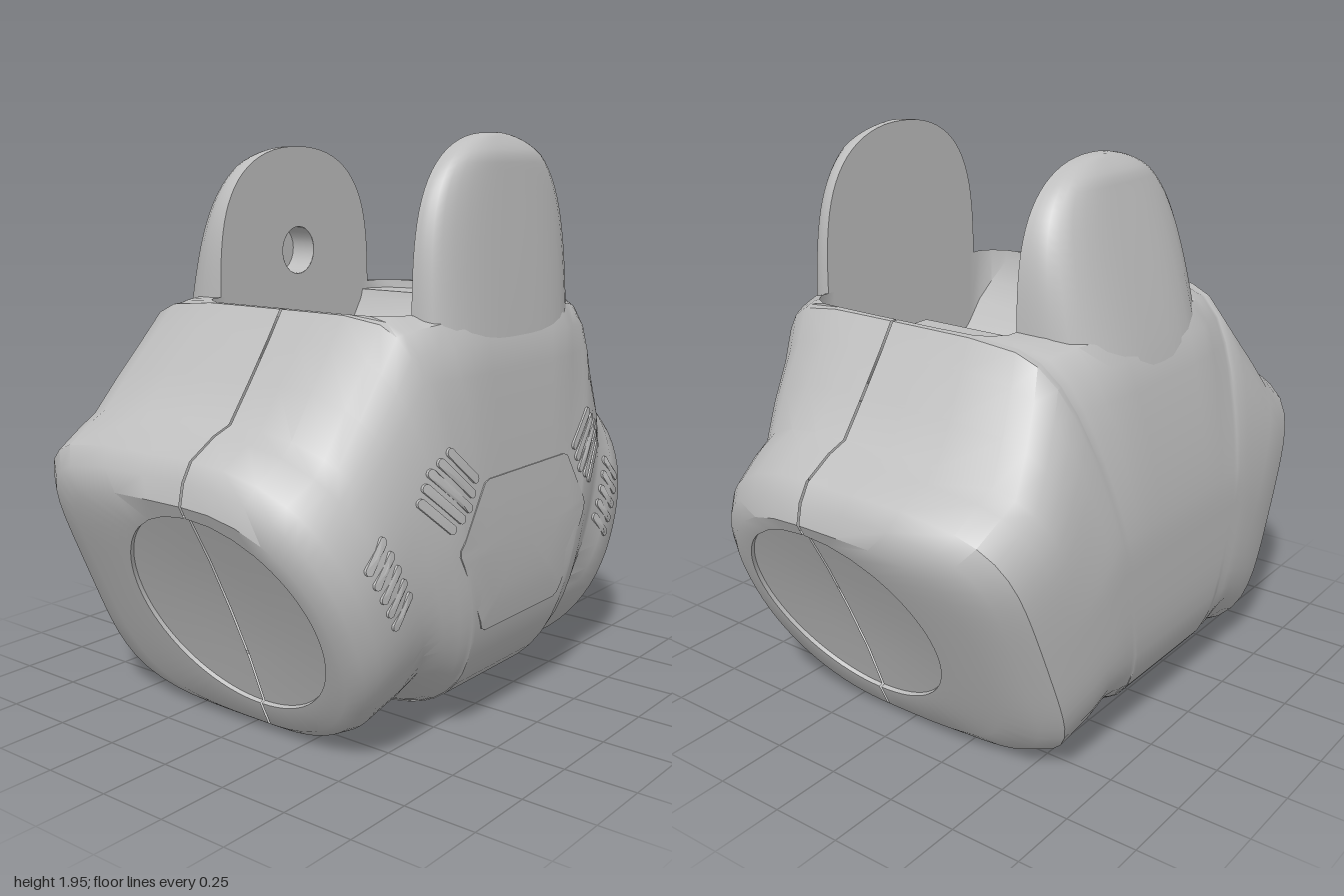
import * as THREE from 'three';
import { toCreasedNormals } from 'three/addons/utils/BufferGeometryUtils.js';

const SEAM = 0.097, GAP = 0.004;
const lerp = THREE.MathUtils.lerp;

// Skin through rows of equal point count
function loft(rows, flip) {
  const n = rows[0].length, index = [];
  for (let i = 0; i < rows.length - 1; i++) {
    for (let j = 0; j < n - 1; j++) {
      const a = i * n + j, b = a + n, c = b + 1, d = a + 1;
      if (flip) index.push(a, b, d, d, b, c);
      else index.push(a, d, b, d, c, b);
    }
  }
  const geo = new THREE.BufferGeometry();
  geo.setAttribute('position', new THREE.Float32BufferAttribute(rows.flat(2), 3));
  geo.setIndex(index);
  return toCreasedNormals(geo, 0.65);
}

// Point of a superellipse at an angle
function superPoint(a, n) {
  const c = Math.cos(a), s = Math.sin(a);
  const r = (Math.abs(c) ** n + Math.abs(s) ** n) ** (-1 / n);
  return [c * r, s * r];
}

// Stations from the middle to one nozzle. Line: bottom z,y, top z,y.
// Each half: width, width at the top, squareness of bottom and top
const station = (line, left, right, trough = false) => ({ line, left, right, trough });
const stations = [];
for (const z of [0, 0.1, 0.2, 0.3, 0.365, 0.375, 0.44, 0.48, 0.51]) {
  const pinch = Math.max(0, z - 0.3) * 0.25, n = 18 - 38 * Math.max(0, z - 0.25);
  stations.push(station([z * 0.4, 0.02, z, 1.4], [0.593, 0.55 - pinch, 3, n], [0.797, 0.65 - pinch, 4.5, n], true));
}
stations.push(
  station([0.206, 0.025, 0.515, 1.4], [0.593, 0.495, 3, 8], [0.797, 0.6, 4.5, 8]),
  station([0.22, 0.03, 0.54, 1.4], [0.59, 0.49, 3, 7], [0.797, 0.61, 4.5, 7.5]),
  station([0.245, 0.045, 0.6, 1.31], [0.58, 0.485, 3, 5], [0.797, 0.65, 4.5, 7]),
  station([0.28, 0.075, 0.69, 1.185], [0.555, 0.485, 2.8, 4], [0.797, 0.7, 4.5, 6.5]),
  station([0.32, 0.09, 0.78, 1.065], [0.525, 0.49, 2.5, 3], [0.79, 0.74, 4.5, 6]),
  station([0.4, 0.055, 0.85, 1.04], [0.54, 0.54, 2.3, 2.4], [0.785, 0.755, 4.5, 5]),
  station([0.53, 0, 0.95, 0.98], [0.52, 0.52, 2.2, 2.3], [0.757, 0.745, 4.5, 5]),
  station([0.58, 0.005, 0.985, 0.92], [0.49, 0.49, 2.2, 2.3], [0.69, 0.69, 4.3, 5]),
  station([0.62, 0.03, 1, 0.85], [0.44, 0.44, 2.2, 2.3], [0.565, 0.565, 3.5, 5]),
);
// Round port in the nozzle face: lip, shallow step, dished floor
const port = [
  [[0.659, 0.115, 0.98, 0.81], 0.385],
  [[0.6454, 0.1213, 0.9664, 0.8163], 0.385],
  [[0.711, 0.293, 0.879, 0.655], 0.2],
  [[0.792, 0.475, 0.792, 0.475], 0],
];
for (const [line, r] of port) stations.push(station(line, [r, r, 2, 2], [r, r, 2, 2]));

function halfSection(st, side, dir) {
  const [bz, by, tz, ty] = st.line;
  const [w, top, nBottom, nTop] = dir > 0 ? st.left : st.right;
  const x0 = SEAM + dir * GAP;
  const at = (deg) => {
    const [u, s] = superPoint(THREE.MathUtils.degToRad(deg), deg < 0 ? nBottom : nTop);
    const v = 0.5 + 0.5 * s;
    const width = s > 0 ? lerp(w, top, s ** 1.5) : w;
    return [x0 + dir * width * u, lerp(by, ty, v), side * lerp(bz, tz, v)];
  };
  const row = [];
  for (let i = 0; i <= 28; i++) row.push(at(-90 + (141 * i) / 28));
  if (st.trough) {
    // Hinge trough: wide cylinder on one half, narrower one with shelves on the other
    const rim = (dir > 0 ? 0.51 : -0.3) - dir * (tz > 0.5 ? 0.08 : tz > 0.46 ? 0.03 : 0);
    let floor = 1.5 - Math.sqrt(0.53 ** 2 - tz * tz);
    if (dir < 0) floor = tz < 0.37 ? 1.5 - Math.sqrt(0.4 ** 2 - tz * tz) : 1.37;
    const z = side * tz;
    row.push([rim, ty, z], [rim, floor, z], [x0, floor, z]);
  } else {
    row.push(at(63), at(76), at(90));
  }
  return row;
}

function bodyHalf(dir) {
  const rows = [
    ...stations.slice(1).reverse().map((s) => halfSection(s, -1, dir)),
    ...stations.map((s) => halfSection(s, 1, dir)),
  ];
  return loft(rows, dir < 0);
}

// Hinge ear: half width follows a dome, depth shrinks upward
function makeEar(dir, inner, topY, depths, hole, mat) {
  const ear = new THREE.Group();
  const rows = [], edge = [], steps = 24, knee = 0.886;
  for (let i = 0; i <= steps; i++) {
    const f = Math.sin((i / steps) * Math.PI / 2);
    const y = lerp(1.25, topY, f);
    const half = 0.405 * Math.max(0, 1 - f ** 4.2) ** (1 / 2.2);
    const [d0, d1, d2] = depths;
    const depth = f < knee ? lerp(d0, d1, (f / knee) ** 1.1) : lerp(d1, d2, ((f - knee) / (1 - knee)) ** 1.5);
    const row = [];
    for (let j = 0; j <= 20; j++) {
      const [u, s] = superPoint(-Math.PI / 2 + (Math.PI * j) / 20, 3.2);
      row.push([inner + dir * depth * u, y, half * s]);
    }
    rows.push(row);
    edge.push([half, y]);
  }
  ear.add(new THREE.Mesh(loft(rows, dir < 0), mat));

  // Flat inner cheek, with an axle hole on one ear
  const outline = [...edge, ...edge.slice(0, -1).reverse().map(([z, y]) => [-z, y])];
  const shape = new THREE.Shape(outline.map(([z, y]) => new THREE.Vector2(z, y)));
  const holeY = 1.54, holeR = 0.085;
  if (hole) shape.holes.push(new THREE.Path().absarc(0, holeY, holeR, 0, Math.PI * 2, true));
  const cheek = new THREE.Mesh(new THREE.ShapeGeometry(shape, 24), mat);
  cheek.rotation.y = -dir * Math.PI / 2;
  cheek.position.x = inner;
  ear.add(cheek);
  if (hole) {
    const bore = new THREE.Mesh(new THREE.CylinderGeometry(holeR, holeR, 0.1, 24, 1, true), mat);
    bore.rotation.z = Math.PI / 2;
    bore.position.set(inner + dir * 0.05, holeY, 0);
    const end = new THREE.Mesh(new THREE.CircleGeometry(holeR, 24), mat);
    end.rotation.y = -dir * Math.PI / 2;
    end.position.set(inner + dir * 0.1, holeY, 0);
    ear.add(bore, end);
  }
  return ear;
}

// Thin plate laid onto the body's side, outline given as [z, y]
function sidePlate(body, outline, thickness) {
  const ray = new THREE.Raycaster();
  const into = new THREE.Vector3(-1, 0, 0);
  const n = outline.length;
  const cz = outline.reduce((t, p) => t + p[0], 0) / n;
  const cy = outline.reduce((t, p) => t + p[1], 0) / n;
  const rings = [[1, -0.005], [1, thickness], [0.75, thickness], [0.5, thickness], [0.25, thickness], [0, thickness]];
  const rows = rings.map(([k, lift]) => [...outline, outline[0]].map(([z, y]) => {
    const pz = lerp(cz, z, k), py = lerp(cy, y, k);
    ray.set(new THREE.Vector3(2, py, pz), into);
    const hit = ray.intersectObject(body)[0];
    return [(hit ? hit.point.x : 0.6) + lift, py, pz];
  }));
  return loft(rows, false);
}

// Rounded bar outline
function bar(z, y, length, radius, angle) {
  const pts = [];
  for (let i = 0; i < 16; i++) {
    const a = ((i + 0.5) / 16) * Math.PI * 2;
    const px = Math.cos(a) * radius + Math.sign(Math.cos(a)) * (length / 2 - radius);
    const py = Math.sin(a) * radius;
    pts.push([z + px * Math.cos(angle) - py * Math.sin(angle), y + px * Math.sin(angle) + py * Math.cos(angle)]);
  }
  return pts;
}

export function createModel() {
  const model = new THREE.Group();
  const grey = new THREE.MeshStandardMaterial({ color: 0xbebebe, side: THREE.DoubleSide });
  grey.name = 'light grey';
  const add = (name, object) => {
    object.name = name;
    model.add(object);
    return object;
  };

  const leftHalf = add('leftBodyHalf', new THREE.Mesh(bodyHalf(1), grey));
  add('rightBodyHalf', new THREE.Mesh(bodyHalf(-1), grey));
  add('leftEar', makeEar(1, 0.51, 1.95, [0.15, 0.095, 0.04], false, grey));
  add('rightEar', makeEar(-1, -0.3, 1.91, [0.3, 0.12, 0.05], true, grey));

  // Six-sided side hatch with softened corners
  const corners = [[0.25, 0.88], [0.39, 0.67], [0.23, 0.37], [-0.23, 0.37], [-0.39, 0.67], [-0.25, 0.88]];
  const hatch = [];
  corners.forEach((p, i) => {
    const a = corners[(i + 5) % 6], b = corners[(i + 1) % 6];
    for (const [q, k] of [[a, 0.14], [a, 0.04], [b, 0.04], [b, 0.14]]) {
      hatch.push([lerp(p[0], q[0], k), lerp(p[1], q[1], k)]);
    }
  });
  add('sideHatch', new THREE.Mesh(sidePlate(leftHalf, hatch, 0.004), grey));

  // Vent slats, mirrored front and back
  for (const side of [1, -1]) {
    const vents = new THREE.Group();
    for (let i = 0; i < 5; i++) {
      const upper = bar(0.365 + i * 0.029, 0.945 - i * 0.035, 0.23 - Math.abs(i - 2) * 0.025, 0.015, 0.72);
      const lower = bar(0.61 + i * 0.026, 0.535 + i * 0.048, 0.13, 0.015, -0.8);
      for (const outline of [upper, lower]) {
        const placed = outline.map(([z, y]) => [z * side, y]);
        vents.add(new THREE.Mesh(sidePlate(leftHalf, placed, 0.008), grey));
      }
    }
    add(side > 0 ? 'frontVents' : 'backVents', vents);
  }
  return model;
}
